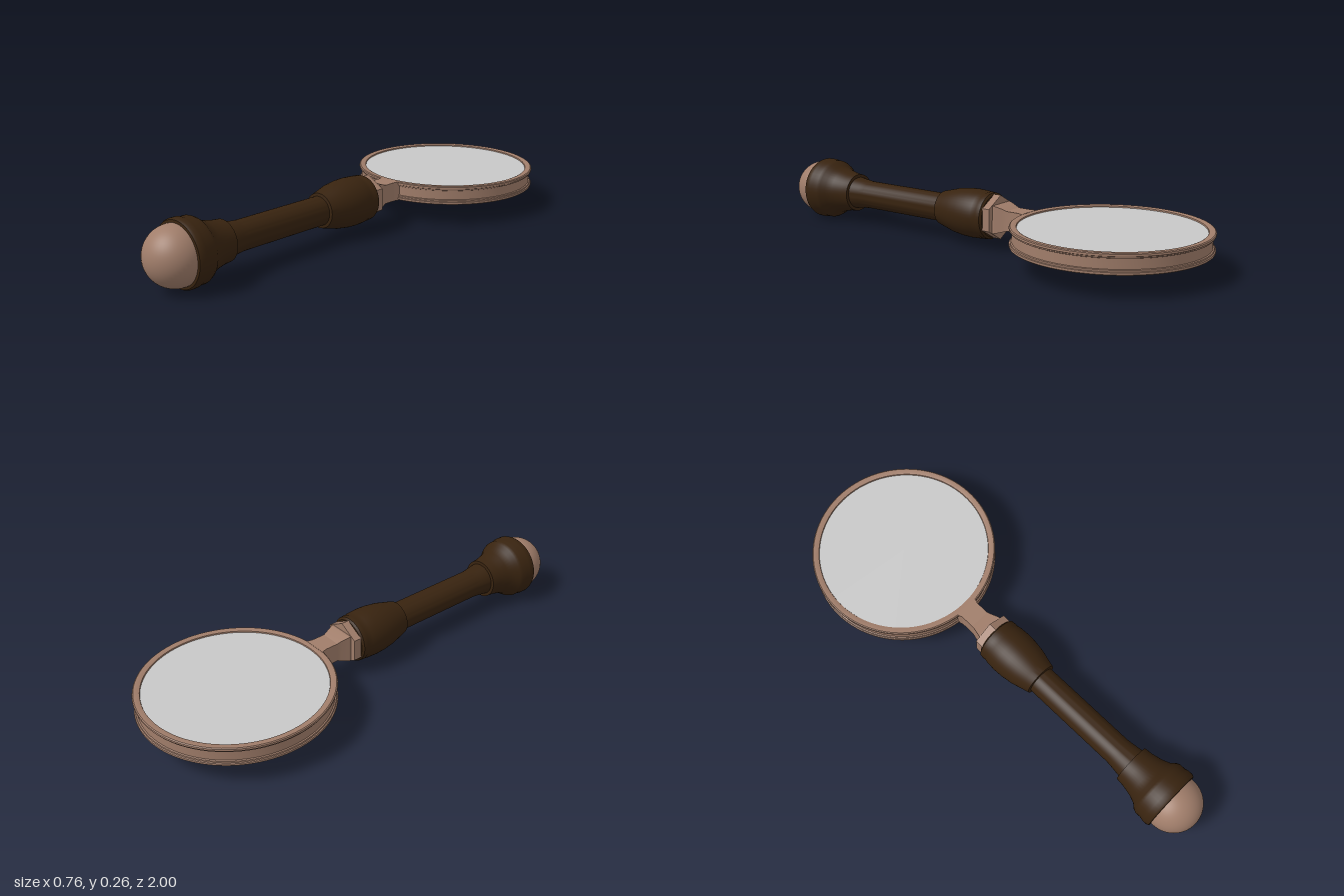
import * as THREE from 'three';
import { toCreasedNormals } from 'three/addons/utils/BufferGeometryUtils.js';

const AXIS_Y = 0.133;
const LENS_Z = -0.62;

function material(name, color) {
  const m = new THREE.MeshStandardMaterial({ color });
  m.name = name;
  return m;
}

function lathe(points, segments) {
  const g = new THREE.LatheGeometry(points.map(([r, h]) => new THREE.Vector2(r, h)), segments);
  return toCreasedNormals(g, 0.6);
}

export function createModel() {
  const wood = material('dark wood', 0x38230f);
  const copper = material('aged copper', 0xa07d6a);
  const glass = material('grey glass', 0xc8c8c8);
  const model = new THREE.Group();
  model.name = 'magnifyingGlass';

  function add(name, geometry, mat, z = 0) {
    const mesh = new THREE.Mesh(geometry, mat);
    mesh.name = name;
    mesh.position.set(0, AXIS_Y, z);
    model.add(mesh);
  }

  // Rim: grooved band with a rounded lip at each edge, closed on the inside
  const half = [[0.369, 0.019], [0.374, 0.021], [0.375, 0.026], [0.379, 0.028], [0.38, 0.032],
    [0.379, 0.036], [0.375, 0.039], [0.357, 0.039], [0.352, 0.037], [0.35, 0.03]];
  const lower = half.map(([r, y]) => [r, -y]).reverse();
  add('rim', lathe([...lower, ...half, lower[0]], 96), copper, LENS_Z);

  // Lens
  add('lens', new THREE.CylinderGeometry(0.352, 0.352, 0.064, 96), glass, LENS_Z);

  // Neck: box whose cross-sections follow [z, half width, half height]
  const sections = [[-0.25, 0.05, 0.04], [-0.228, 0.043, 0.04], [-0.17, 0.043, 0.04],
    [-0.155, 0.046, 0.046], [-0.12, 0.056, 0.056], [-0.1, 0.056, 0.056]];
  const neck = new THREE.BoxGeometry(2, 2, 1, 1, 1, sections.length - 1);
  const p = neck.attributes.position;
  for (let i = 0; i < p.count; i++) {
    const [z, w, h] = sections[Math.round((p.getZ(i) + 0.5) * (sections.length - 1))];
    p.setXYZ(i, p.getX(i) * w, p.getY(i) * h, z);
  }
  add('neck', toCreasedNormals(neck, 0.2), copper);

  // Hexagonal collar, points up and down
  const collar = new THREE.CylinderGeometry(0.09, 0.09, 0.04, 6).rotateX(Math.PI / 2);
  add('collar', toCreasedNormals(collar, 0.4), copper, -0.092);

  // Turned handle: [radius, z]
  const grip = [[0, -0.08], [0.085, -0.08], [0.094, -0.073], [0.096, -0.055], [0.094, -0.05],
    [0.098, -0.03], [0.1, 0.01], [0.098, 0.05], [0.091, 0.1], [0.08, 0.14], [0.071, 0.175],
    [0.059, 0.177], [0.059, 0.59], [0.062, 0.62], [0.068, 0.665], [0.081, 0.666], [0.084, 0.7],
    [0.094, 0.745], [0.106, 0.775], [0.121, 0.792], [0.127, 0.805], [0.127, 0.83], [0.131, 0.845],
    [0.131, 0.865], [0.126, 0.875], [0.114, 0.876], [0, 0.876]];
  add('handle', lathe(grip, 48).rotateX(Math.PI / 2), wood);

  // Pommel ball
  add('pommel', new THREE.SphereGeometry(0.116, 48, 32), copper, 0.884);

  return model;
}
